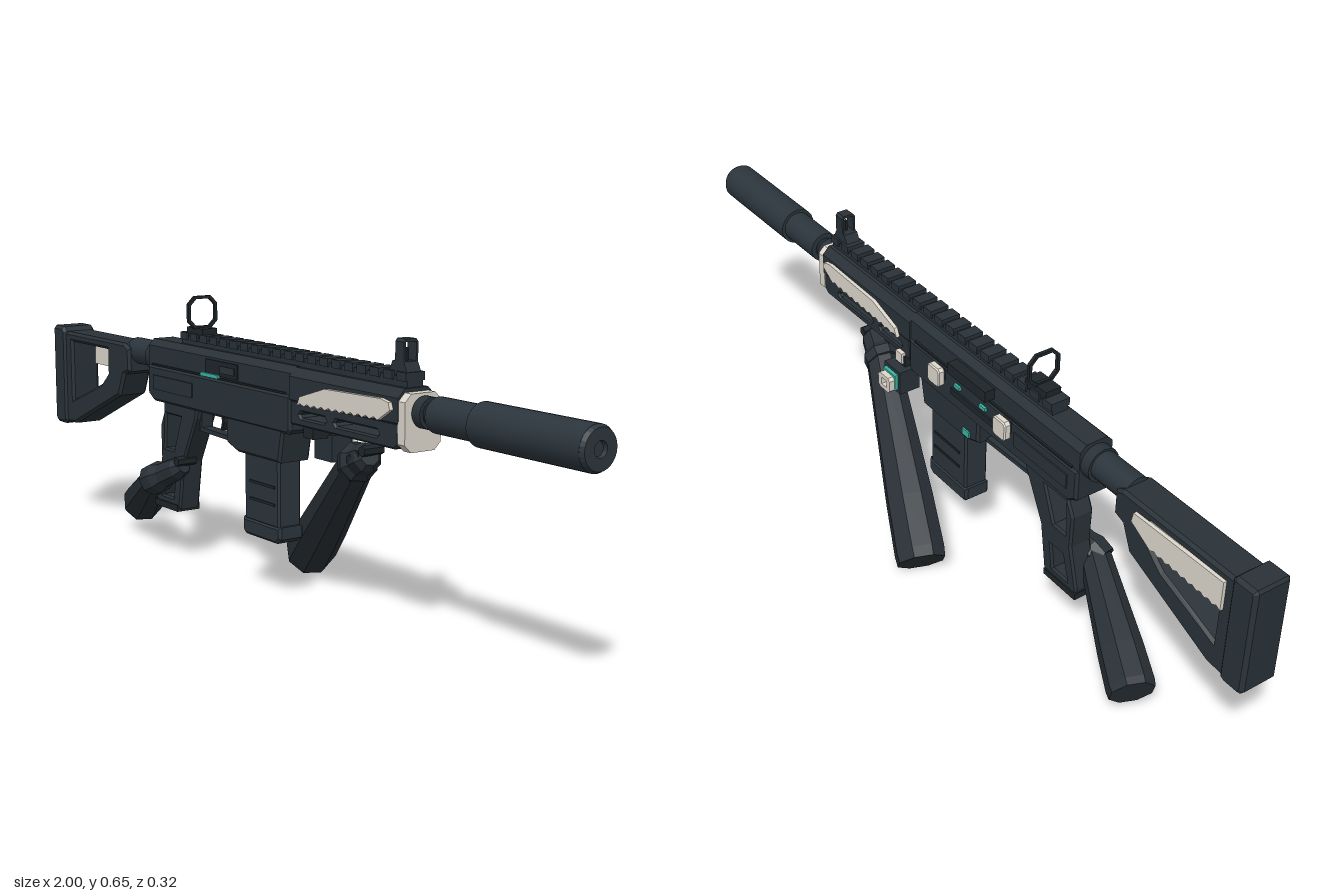
import * as THREE from 'three';

const mat = (name, color) => Object.assign(new THREE.MeshStandardMaterial({ color }), { name });

export function createModel() {
  const model = new THREE.Group();
  const rifle = new THREE.Group();
  rifle.name = 'rifle';
  rifle.position.z = 0.072;
  model.add(rifle);

  const slate = mat('dark slate', 0x293238);
  const steel = mat('blue steel', 0x2b353c);
  const black = mat('near black', 0x1e2529);
  const sleeve = mat('sleeve grey', 0x293036);
  const cream = mat('cream', 0xded8cd);
  const teal = mat('teal', 0x38b5a2);

  const add = (name, geo, material, parent = rifle) => {
    const m = new THREE.Mesh(geo, material);
    m.name = name;
    parent.add(m);
    return m;
  };
  // box from its limits on each axis
  const box = (name, material, x0, x1, y0, y1, z0, z1) => {
    const g = new THREE.BoxGeometry(x1 - x0, y1 - y0, z1 - z0);
    g.translate((x0 + x1) / 2, (y0 + y1) / 2, (z0 + z1) / 2);
    return add(name, g, material);
  };
  // outline wound anticlockwise, holes clockwise
  const wind = (pts, clockwise) => {
    const v = pts.map((p) => new THREE.Vector2(p[0], p[1]));
    return THREE.ShapeUtils.isClockWise(v) === clockwise ? v : v.reverse();
  };
  const toShape = (pts, holes = []) => {
    const s = new THREE.Shape(wind(pts, false));
    holes.forEach((h) => s.holes.push(new THREE.Path(wind(h, true))));
    return s;
  };
  // side outline extruded across z, with an optional bevel
  const plate = (name, material, pts, z0, z1, holes, bevel = 0) => {
    const g = new THREE.ExtrudeGeometry(toShape(pts, holes), {
      depth: z1 - z0 - 2 * bevel, bevelEnabled: bevel > 0, bevelSize: bevel,
      bevelOffset: -bevel, bevelThickness: bevel, bevelSegments: 1 });
    g.translate(0, 0, z0 + bevel);
    return add(name, g, material);
  };
  const octagon = (w, y0, y1, c) => [[-w + c, y0], [w - c, y0], [w, y0 + c], [w, y1 - c],
    [w - c, y1], [-w + c, y1], [-w, y1 - c], [-w, y0 + c]];
  // front outline extruded along x
  const prism = (name, material, pts, x0, x1, holes) => {
    const g = new THREE.ExtrudeGeometry(toShape(pts, holes), { depth: x1 - x0, bevelEnabled: false });
    g.rotateY(Math.PI / 2).translate(x0, 0, 0);
    return add(name, g, material);
  };
  const rod = (name, material, x0, x1, r, y = 0.492, seg = 28) => {
    const g = new THREE.CylinderGeometry(r, r, x1 - x0, seg);
    g.rotateZ(-Math.PI / 2).translate((x0 + x1) / 2, y, 0);
    return add(name, g, material);
  };

  // barrel and suppressor
  rod('barrel', black, 0.48, 0.58, 0.025);
  rod('suppressorSleeve', steel, 0.565, 0.7, 0.037);
  rod('suppressorCollar', slate, 0.52, 0.545, 0.033);
  rod('suppressorBody', steel, 0.695, 0.991, 0.045);
  const tip = new THREE.LatheGeometry([[0.045, 0.99], [0.04, 1], [0.016, 1], [0.014, 0.992], [0, 0.992]]
    .map((p) => new THREE.Vector2(...p)), 28).toNonIndexed();
  tip.computeVertexNormals();
  tip.rotateZ(-Math.PI / 2).translate(0, 0.492, 0);
  add('suppressorTip', tip, steel);

  // handguard with slots through its lower edge
  prism('handguard', slate, octagon(0.047, 0.452, 0.538, 0.018), 0.12, 0.495);
  const slot = (a, b) => [[a, 0.44], [a + 0.006, 0.434], [b - 0.006, 0.434], [b, 0.44], [b - 0.006, 0.447], [a + 0.006, 0.447]];
  plate('handguardLower', slate, [[0.12, 0.415], [0.48, 0.415], [0.495, 0.425], [0.495, 0.47], [0.12, 0.47]],
    -0.045, 0.045, [slot(0.155, 0.25), slot(0.28, 0.43)], 0.004);
  prism('muzzleCap', cream, octagon(0.046, 0.412, 0.53, 0.016), 0.493, 0.516);

  // pale side panels with a notched lower edge, on both sides of the handguard
  const notched = (x0, y0, x1, y1, n, d) => Array.from({ length: 2 * n + 1 }, (_, i) => {
    const t = i / (2 * n);
    return [x0 + (x1 - x0) * t, y0 + (y1 - y0) * t + (i % 2 ? d : 0)];
  });
  const panel = [...notched(0.16, 0.462, 0.44, 0.47, 11, 0.006), [0.48, 0.495], [0.475, 0.51],
    [0.45, 0.515], [0.26, 0.51], [0.17, 0.482]];
  plate('handguardPanelLeft', cream, panel, 0.047, 0.056);
  plate('handguardPanelRight', cream, panel, -0.056, -0.047);

  // receiver
  prism('upperReceiver', slate, octagon(0.042, 0.46, 0.54, 0.015), -0.49, 0.122);
  plate('lowerReceiver', slate, [[-0.49, 0.405], [-0.465, 0.39], [0.11, 0.39], [0.122, 0.4], [0.122, 0.478], [-0.49, 0.478]],
    -0.047, 0.047, [], 0.006);
  for (const s of [-1, 1]) {
    box('seam', black, -0.47, 0.1, 0.478, 0.482, s * 0.0435 - 0.003, s * 0.0435 + 0.003);
    box('sideRib', slate, -0.46, -0.28, 0.42, 0.455, s * 0.047 - 0.003, s * 0.047 + 0.003);
  }
  box('ejectionPort', black, -0.225, -0.09, 0.485, 0.52, 0.04, 0.045);
  box('portBolt', steel, -0.16, -0.1, 0.493, 0.51, 0.044, 0.047);
  box('tealStripe', teal, -0.24, -0.165, 0.479, 0.488, 0.042, 0.05);
  plate('magazineWell', slate, [[-0.14, 0.4], [-0.14, 0.335], [-0.095, 0.32], [0.075, 0.32], [0.09, 0.4]],
    -0.04, 0.044, [], 0.006);
  box('wellTealMark', teal, -0.11, -0.085, 0.333, 0.349, -0.044, -0.039);

  // magazine with ribs and floor plate
  plate('magazine', steel, [[-0.083, 0.33], [-0.083, 0.165], [0.055, 0.165], [0.055, 0.33]], -0.031, 0.031, [], 0.005);
  plate('magazineFloor', steel, [[-0.09, 0.17], [-0.09, 0.14], [-0.08, 0.13], [0.045, 0.13], [0.062, 0.142], [0.062, 0.17]],
    -0.033, 0.033, [], 0.006);
  for (let i = 0; i < 2; i++) box('magazineRib', black, -0.06, 0.04, 0.215 + i * 0.04, 0.221 + i * 0.04, -0.033, 0.033);

  // trigger and guard
  plate('triggerGuard', slate, [[-0.3, 0.395], [-0.3, 0.335], [-0.13, 0.33], [-0.13, 0.395]], -0.015, 0.015,
    [[[-0.29, 0.39], [-0.29, 0.345], [-0.14, 0.341], [-0.14, 0.39]]]);
  plate('trigger', black, [[-0.222, 0.395], [-0.205, 0.395], [-0.203, 0.37], [-0.214, 0.348], [-0.219, 0.35], [-0.212, 0.37]], -0.008, 0.008);

  // skeleton grip
  plate('grip', slate, [[-0.445, 0.395], [-0.29, 0.395], [-0.295, 0.365], [-0.355, 0.25], [-0.375, 0.13],
    [-0.485, 0.13], [-0.487, 0.15], [-0.46, 0.25], [-0.462, 0.33], [-0.445, 0.365]], -0.027, 0.03,
  [[[-0.435, 0.36], [-0.365, 0.36], [-0.4, 0.275], [-0.44, 0.275]],
    [[-0.435, 0.215], [-0.395, 0.215], [-0.405, 0.155], [-0.455, 0.155]]], 0.005);
  box('gripBase', black, -0.488, -0.38, 0.124, 0.14, -0.03, 0.033);

  // buffer tube and stock
  rod('bufferTube', steel, -0.62, -0.47, 0.033, 0.495, 16);
  rod('bufferRing', slate, -0.515, -0.485, 0.04, 0.493, 16);
  plate('stock', slate, [[-0.95, 0.515], [-0.62, 0.515], [-0.597, 0.503], [-0.597, 0.445], [-0.625, 0.435],
    [-0.65, 0.378], [-0.895, 0.272], [-0.95, 0.268]], -0.04, 0.04,
  [[[-0.905, 0.49], [-0.71, 0.49], [-0.71, 0.43], [-0.75, 0.395], [-0.905, 0.335]]], 0.007);
  plate('buttPad', slate, [[-0.995, 0.527], [-0.945, 0.527], [-0.935, 0.515], [-0.935, 0.272], [-0.95, 0.264], [-0.99, 0.264], [-1, 0.276], [-1, 0.52]],
    -0.046, 0.046, [], 0.008);
  plate('stockPanel', cream, [...notched(-0.92, 0.427, -0.72, 0.434, 9, 0.006), [-0.66, 0.468], [-0.665, 0.492], [-0.92, 0.497]],
    -0.048, -0.039);
  plate('stockInnerPanel', cream, [[-0.91, 0.427], [-0.725, 0.427], [-0.705, 0.44], [-0.705, 0.495], [-0.91, 0.495]],
    -0.039, -0.03);

  // toothed top rail
  box('rail', slate, -0.37, 0.49, 0.525, 0.559, -0.02, 0.02);
  for (let i = 0; i < 20; i++) box('railTooth', slate, -0.37 + i * 0.0437, -0.34 + i * 0.0437, 0.55, 0.568, -0.024, 0.024);

  // rear ring sight and front post sight
  box('rearSightBase', black, -0.345, -0.275, 0.56, 0.582, -0.02, 0.02);
  prism('rearSightRing', black, octagon(0.04, 0.579, 0.657, 0.018), -0.313, -0.305, [octagon(0.033, 0.586, 0.65, 0.015)]);
  plate('frontSightBase', slate, [[0.425, 0.56], [0.49, 0.56], [0.475, 0.588], [0.44, 0.588]], -0.018, 0.018);
  prism('frontSightFrame', slate, [[-0.018, 0.58], [0.018, 0.58], [0.018, 0.627], [0.013, 0.633], [-0.013, 0.633], [-0.018, 0.627]],
    0.448, 0.476, [[[-0.013, 0.587], [-0.013, 0.627], [0.013, 0.627], [0.013, 0.587]]]);
  box('frontSightPost', black, 0.458, 0.466, 0.58, 0.614, -0.003, 0.003);

  // controls on the right side
  for (const x of [-0.01, -0.255]) {
    plate('controlKnob', cream, octagon(0.023, 0.435, 0.483, 0.007).map(([a, b]) => [a + x, b]), -0.072, -0.054, [], 0.003);
    box('knobStem', black, x - 0.014, x + 0.014, 0.445, 0.473, -0.056, -0.04);
  }
  for (const x of [-0.085, -0.18]) box('controlTeal', teal, x, x + 0.022, 0.45, 0.459, -0.053, -0.045);
  box('chargingHandle', black, -0.2, -0.06, 0.492, 0.519, -0.068, -0.038);
  box('selectorBar', black, -0.22, -0.05, 0.425, 0.44, -0.052, -0.045);

  // small light unit under the handguard
  box('lightMount', black, 0.135, 0.17, 0.385, 0.42, -0.05, 0.02);
  box('lightClip', cream, 0.14, 0.165, 0.4, 0.427, -0.056, -0.044);
  box('lightBody', slate, 0.12, 0.185, 0.333, 0.392, -0.074, -0.02);
  box('lightTealBand', teal, 0.128, 0.177, 0.343, 0.383, -0.083, -0.074);
  plate('lightCap', cream, octagon(0.024, 0.338, 0.378, 0.007).map(([a, b]) => [a + 0.153, b]), -0.097, -0.082,
    [[[0.143, 0.349], [0.143, 0.367], [0.163, 0.367], [0.163, 0.349]]]);

  // faceted tapered limb between two points; profile holds [radius, fraction]
  const limb = (name, material, a, b, profile, parent, sides = 8) => {
    const A = new THREE.Vector3(...a), dir = new THREE.Vector3(...b).sub(A), len = dir.length();
    const pts = profile.map(([r, t]) => new THREE.Vector2(r, t * len));
    const g = new THREE.LatheGeometry(pts, sides).toNonIndexed();
    g.computeVertexNormals();
    const m = add(name, g, material, parent);
    m.position.copy(A);
    m.quaternion.setFromUnitVectors(new THREE.Vector3(0, 1, 0), dir.normalize());
  };
  const arm = (name, elbow, wrist, fist, r) => {
    const g = new THREE.Group();
    g.name = name;
    model.add(g);
    limb('forearm', sleeve, elbow, wrist, [[0, 0], [r * 0.96, 0], [r, 0.05], [r * 0.95, 0.3], [r * 0.66, 1], [0, 1]], g);
    limb('hand', sleeve, wrist, fist, [[0, -0.2], [r * 0.72, -0.2], [r * 0.76, 0.1], [r * 0.6, 0.3], [r * 0.55, 0.8], [r * 0.35, 1], [0, 1]], g);
    // curled fingers beside the fist
    for (let i = 0; i < 3; i++) {
      const f = [fist[0] - i * 0.022, fist[1] - i * 0.013 + 0.012, fist[2]];
      limb('finger', black, [f[0], f[1], f[2] - 0.03], [f[0], f[1], f[2] + 0.022], [[0, 0], [0.012, 0], [0.012, 1], [0, 1]], g, 6);
    }
  };
  arm('supportArm', [-0.121, 0.046, -0.107], [0.26, 0.345, 0.04], [0.33, 0.372, 0.06], 0.06);
  arm('gripArm', [-0.733, 0.071, 0.003], [-0.455, 0.198, 0.119], [-0.355, 0.243, 0.1], 0.053);

  return model;
}
